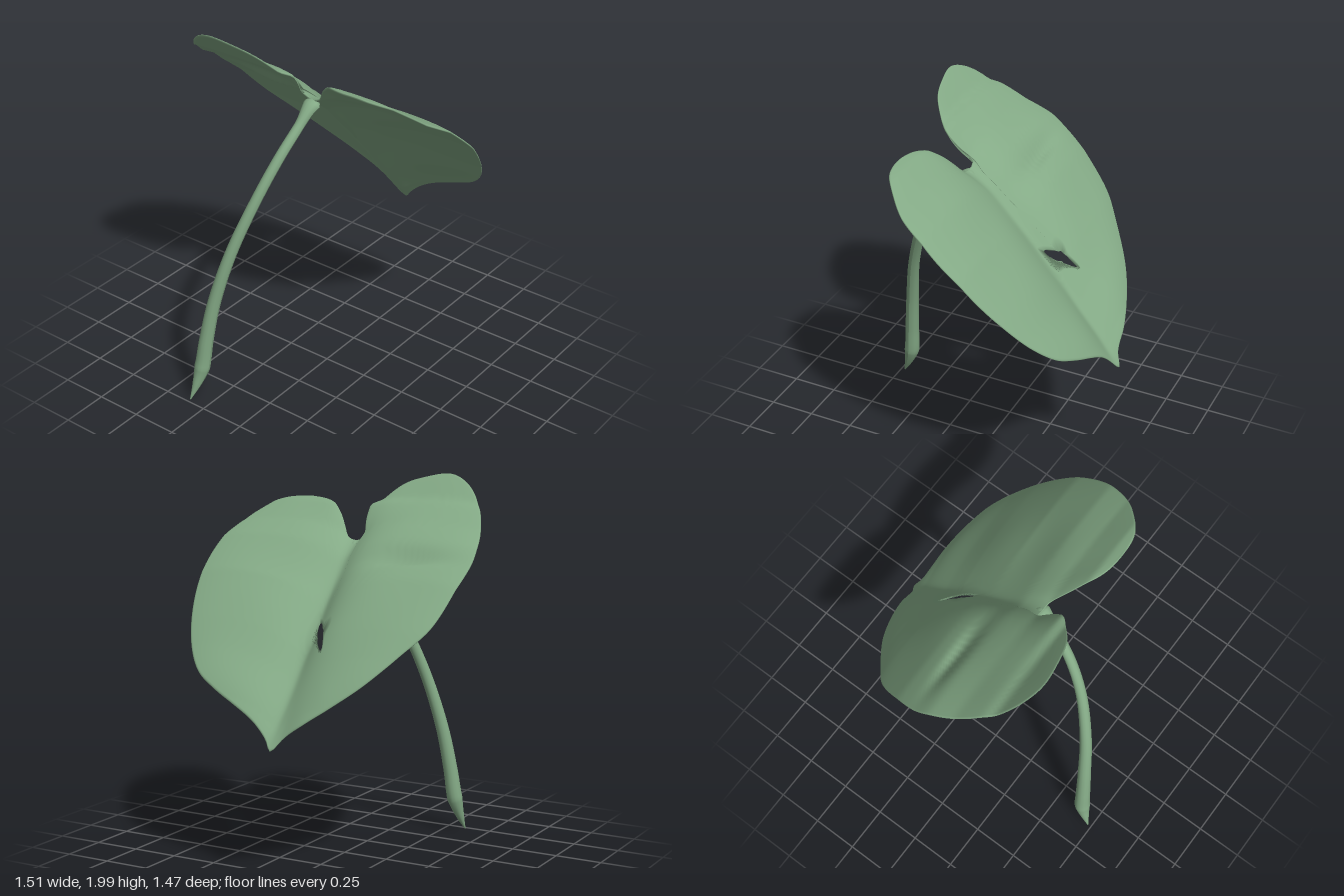
import * as THREE from 'three';

// Blade outline seen from above as x, z pairs: notch, left lobe, tip, right lobe
const OUTLINE = [
  [0.01, 0.125], [0.05, 0.13], [0.09, 0.165], [0.14, 0.21], [0.26, 0.285], [0.4, 0.305], [0.52, 0.285],
  [0.62, 0.21], [0.69, 0.13], [0.74, 0], [0.755, -0.12], [0.73, -0.29], [0.64, -0.47], [0.52, -0.59],
  [0.4, -0.64], [0.25, -0.675], [0.1, -0.695], [0.04, -0.71], [0, -0.735], [-0.05, -0.705],
  [-0.16, -0.69], [-0.3, -0.645], [-0.43, -0.58], [-0.58, -0.46], [-0.68, -0.36], [-0.735, -0.2],
  [-0.755, -0.06], [-0.735, 0.05], [-0.69, 0.17], [-0.64, 0.26], [-0.58, 0.335], [-0.5, 0.39],
  [-0.4, 0.42], [-0.27, 0.405], [-0.15, 0.37], [-0.06, 0.3], [-0.015, 0.25], [-0.025, 0.18], [-0.028, 0.125],
];

// Along the blade: z, height of the halves, depth of the midrib valley
const SECTION = [
  [-0.74, 0.935, 0.2], [-0.66, 1.01, 0.195], [-0.5, 1.185, 0.18], [-0.4, 1.3, 0.17], [-0.2, 1.52, 0.16],
  [0, 1.69, 0.115], [0.13, 1.765, 0.075], [0.25, 1.86, 0], [0.3, 1.885, 0], [0.43, 2.04, 0],
];

function section(z, k) {
  let i = 0;
  while (i < SECTION.length - 2 && z > SECTION[i + 1][0]) i++;
  const a = SECTION[i], b = SECTION[i + 1];
  return THREE.MathUtils.lerp(a[k], b[k], (z - a[0]) / (b[0] - a[0]));
}

const bump = (v, centre, width) => Math.exp(-(((v - centre) / width) ** 2));

// Height of the upper surface; t runs from the tear (0) to the rim (1)
function bladeHeight(x, z, t) {
  const soft = Math.sqrt(x * x + 0.0009) - 0.03;
  const leftWidth = THREE.MathUtils.lerp(0.2, 0.1, THREE.MathUtils.smoothstep(z, -0.68, -0.35));
  const valley = section(z, 2) * Math.exp(-soft / (x < 0 ? leftWidth : 0.18));
  const crease = 0.04 * bump(z, -0.08, 0.03) * bump(x, -0.4, 0.2);
  const ripple = 0.008 * Math.sin(z * 16 + x * 2) * bump(Math.abs(x), 0.28, 0.2) * (1 - t ** 4);
  return section(z, 1) - valley - crease + ripple - 0.03 * t ** 6;
}

// Closed skin: upper side from tear to rim, then lower side back to the tear
function bladeGeometry() {
  const SEG = 220, RINGS = 30, THICK = 0.026;
  const curve = new THREE.CatmullRomCurve3(OUTLINE.map(([x, z]) => new THREE.Vector3(x, 0, z)), true);
  const rim = curve.getSpacedPoints(SEG).slice(0, SEG);
  const cx = -0.07, cz = -0.365, tilt = Math.atan2(0.155, 0.095);
  const tear = rim.map((p) => {
    const angle = Math.atan2(p.z - cz, p.x - cx), d = angle - tilt;
    const a = 0.088, b = 0.014 + 0.002 * Math.sin(angle * 3);
    const r = (a * b) / Math.hypot(b * Math.cos(d), a * Math.sin(d));
    return [cx + r * Math.cos(angle), cz + r * Math.sin(angle)];
  });
  const positions = [], indices = [];
  const total = RINGS * 2;
  for (let i = 0; i < total; i++) {
    const upper = i <= RINGS;
    const u = (upper ? i : total - i) / RINGS;
    const t = 1 - (1 - u) ** 1.6;
    const thick = THICK * (1 - 0.6 * t ** 6);
    const drop = upper ? (u === 1 ? thick / 2 : 0) : thick;
    for (let j = 0; j < SEG; j++) {
      const z = THREE.MathUtils.lerp(tear[j][1], rim[j].z, t);
      let x = THREE.MathUtils.lerp(tear[j][0], rim[j].x, t);
      // Undercut on the left side of the notch
      x -= 0.025 * bump(x, -0.035, 0.04) * bump(z, 0.125, 0.05);
      positions.push(x, bladeHeight(x, z, t) - drop, z);
      const k = (j + 1) % SEG, n = (i + 1) % total;
      const a = i * SEG + j, b = n * SEG + j, c = n * SEG + k, d = i * SEG + k;
      indices.push(a, b, c, a, c, d);
    }
  }
  const g = new THREE.BufferGeometry();
  g.setAttribute('position', new THREE.Float32BufferAttribute(positions, 3));
  g.setIndex(indices);
  g.computeVertexNormals();
  return g;
}

// Tapered stalk: x, y, z, radius
const STALK = [
  [-0.358, 0.004, 0.729, 0.003], [-0.342, 0.09, 0.692, 0.024], [-0.326, 0.19, 0.66, 0.043],
  [-0.305, 0.36, 0.642, 0.039], [-0.265, 0.6, 0.612, 0.035], [-0.19, 0.9, 0.552, 0.031],
  [-0.1, 1.2, 0.445, 0.028], [-0.045, 1.4, 0.33, 0.027], [-0.012, 1.54, 0.21, 0.026],
  [0, 1.625, 0.125, 0.031], [0, 1.618, 0.085, 0.012],
];

function stalkGeometry() {
  const STEPS = 80, SIDES = 14;
  const path = new THREE.CatmullRomCurve3(STALK.map((p) => new THREE.Vector3(p[0], p[1], p[2])));
  // Uniform parameter so that radii line up with the path points
  path.getPointAt = (u, target) => path.getPoint(u, target);
  path.getTangentAt = (u, target) => path.getTangent(u, target);
  const g = new THREE.TubeGeometry(path, STEPS, 1, SIDES, false);
  const pos = g.attributes.position, v = new THREE.Vector3();
  for (let i = 0; i <= STEPS; i++) {
    const s = (i / STEPS) * (STALK.length - 1);
    const k = Math.min(Math.floor(s), STALK.length - 2);
    const radius = THREE.MathUtils.lerp(STALK[k][3], STALK[k + 1][3], s - k);
    const centre = path.getPoint(i / STEPS);
    const flare = 1 + 0.6 * THREE.MathUtils.smoothstep(i / STEPS, 0.8, 0.93);
    for (let j = 0; j <= SIDES; j++) {
      const n = i * (SIDES + 1) + j;
      v.fromBufferAttribute(pos, n).sub(centre).multiplyScalar(radius);
      v.x *= flare;
      v.add(centre);
      pos.setXYZ(n, v.x, Math.max(v.y, 0), v.z);
    }
  }
  g.computeVertexNormals();
  return g;
}

export function createModel() {
  const group = new THREE.Group();
  group.name = 'leaf';
  const leafGreen = new THREE.MeshStandardMaterial({ color: 0x84aa86 });
  leafGreen.name = 'leaf green';

  const blade = new THREE.Mesh(bladeGeometry(), leafGreen);
  blade.name = 'leafBlade';
  const stalk = new THREE.Mesh(stalkGeometry(), leafGreen);
  stalk.name = 'leafStalk';
  group.add(blade, stalk);
  return group;
}
